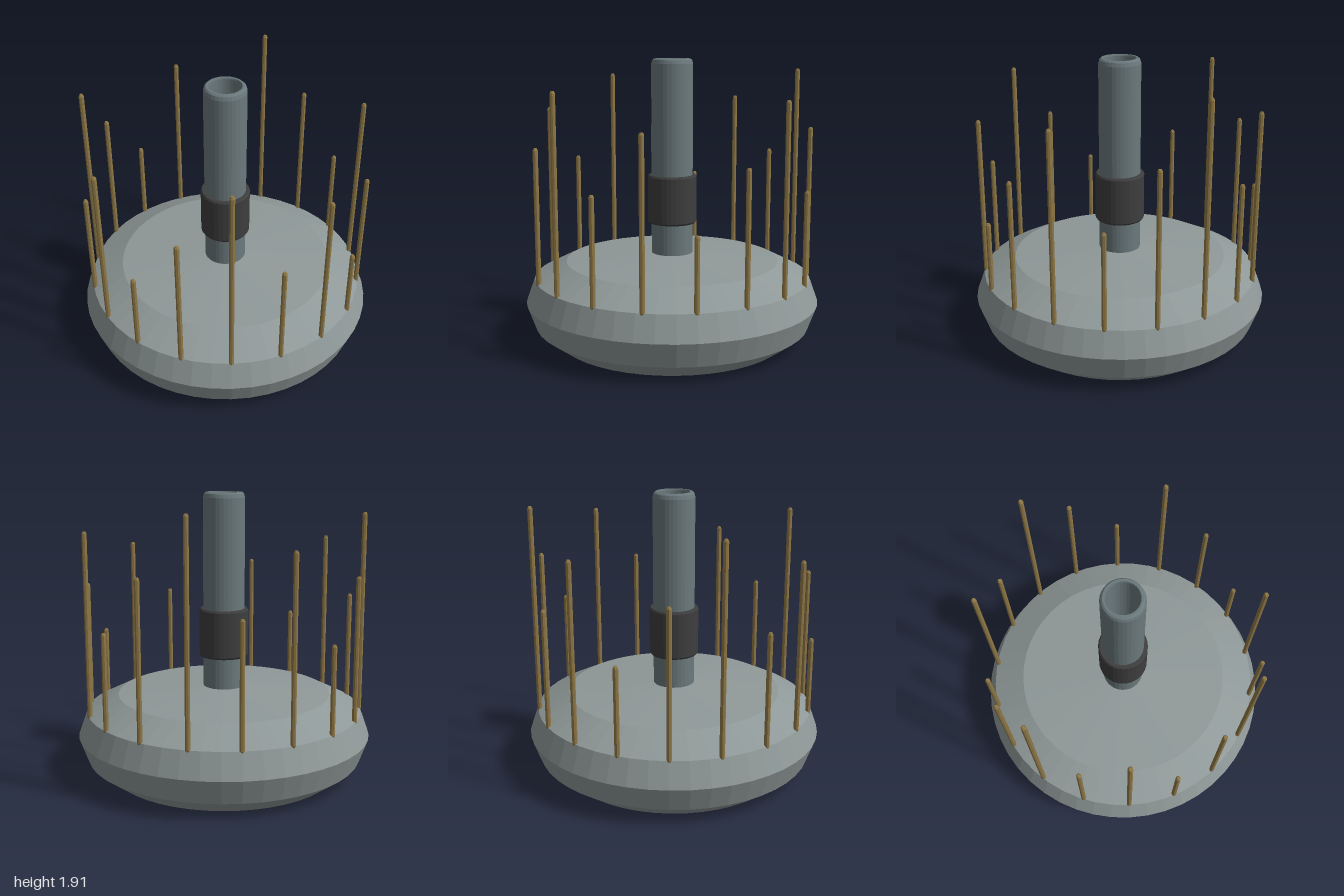
import * as THREE from 'three';

const material = (name, color, flatShading = false) => {
  const m = new THREE.MeshStandardMaterial({ color, flatShading });
  m.name = name;
  return m;
};

// Revolve a profile of [radius, height] pairs listed from the bottom up
const lathe = (profile, sides) =>
  new THREE.LatheGeometry(profile.map(([r, y]) => new THREE.Vector2(r, y)), sides);

export function createModel() {
  const group = new THREE.Group();
  group.name = 'waterphone';

  const steel = material('bowl steel', 0x8f9898, true);
  const tubeSteel = material('neck steel', 0x6b797c, true);
  const rubber = material('dark grip', 0x3e3e3e, true);
  const bronze = material('bronze', 0x8f7846, true);

  const add = (name, geometry, mat, parent = group) => {
    const mesh = new THREE.Mesh(geometry, mat);
    mesh.name = name;
    parent.add(mesh);
    return mesh;
  };

  // Resonator bowl with a shallow domed lid
  add('bowl', lathe([
    [0, 0], [0.79, 0], [0.94, 0.11], [1, 0.275], [0.94, 0.44], [0.725, 0.547], [0.13, 0.595], [0, 0.595],
  ], 48), steel);

  // Hollow neck with bevelled rim
  add('neck', lathe([
    [0.14, 0.585], [0.14, 1.875], [0.133, 1.9], [0.122, 1.91], [0.108, 1.91], [0.105, 1.9], [0.105, 0.6], [0, 0.6],
  ], 32), tubeSteel);

  // Grip sleeve around the neck
  add('grip', lathe([
    [0.138, 0.803], [0.158, 0.803], [0.166, 0.815], [0.166, 1.12], [0.158, 1.132], [0.138, 1.132],
  ], 32), rubber);

  // Ring of tuned rods, their lengths stepping round in a scattered order
  const rods = new THREE.Group();
  rods.name = 'rods';
  group.add(rods);
  const count = 18;
  for (let i = 0; i < count; i++) {
    const angle = (i / count) * Math.PI * 2;
    const top = 0.91 + 0.98 * ((i * 11) % count) / count;
    const rod = add('rod', lathe([
      [0, 0.415], [0.009, 0.415], [0.017, 0.44], [0.017, top - 0.014], [0.01, top], [0, top],
    ], 8), bronze, rods);
    rod.position.set(0.93 * Math.cos(angle), 0, 0.93 * Math.sin(angle));
  }

  return group;
}
